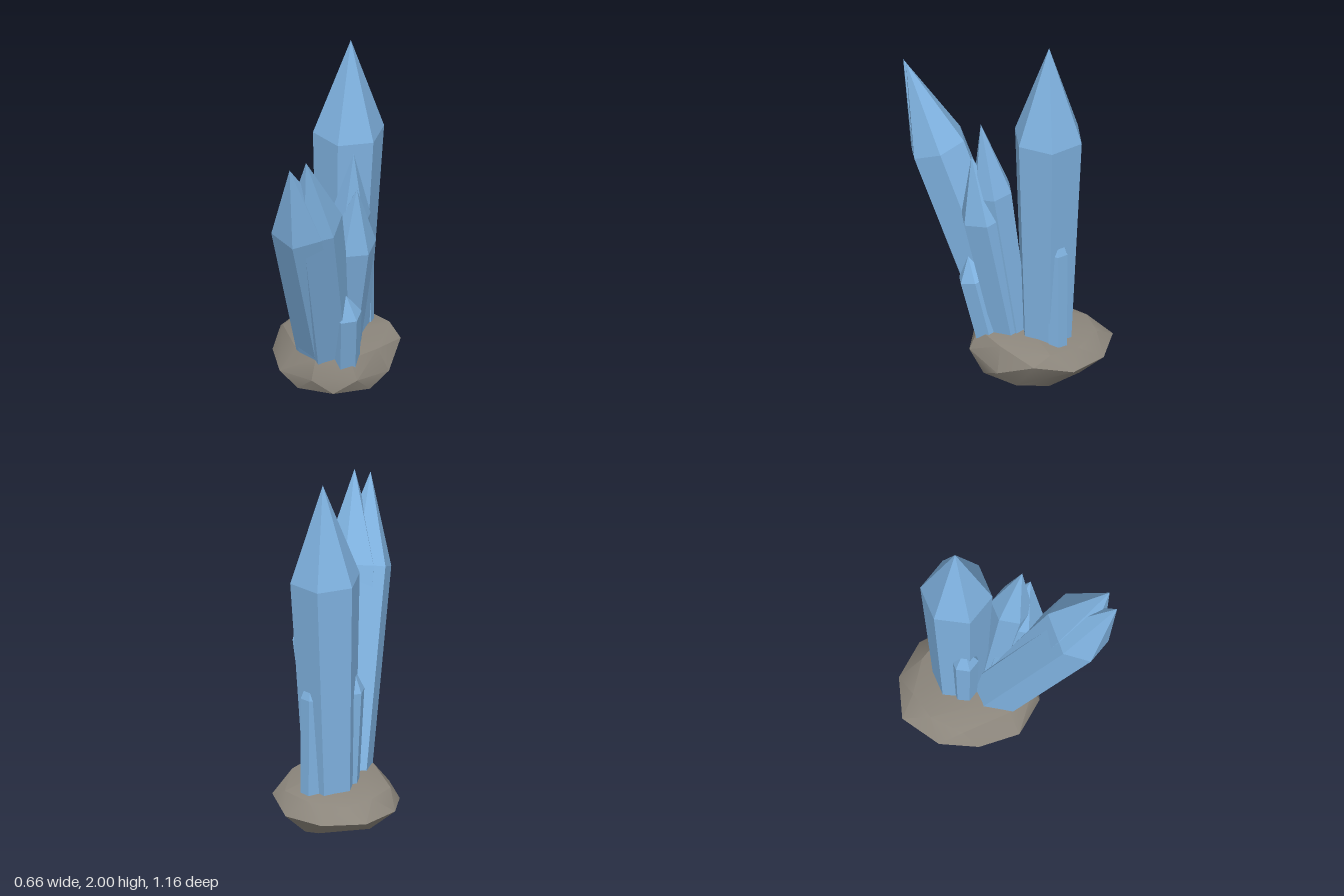
import * as THREE from 'three';
import { ConvexGeometry } from 'three/addons/geometries/ConvexGeometry.js';
import { toCreasedNormals } from 'three/addons/utils/BufferGeometryUtils.js';

const crystalMaterial = new THREE.MeshStandardMaterial({ color: 0x7fb2e0, flatShading: true });
const rockMaterial = new THREE.MeshStandardMaterial({ color: 0x8c867c });

// Six-sided prism widening from its base to the shoulder, then closing to a point.
function crystal(name, base, apex, baseRadius, shoulderRadius, shoulderAt) {
  const from = new THREE.Vector3(...base);
  const axis = new THREE.Vector3(...apex).sub(from);
  const length = axis.length();
  const profile = [
    new THREE.Vector2(0, 0),
    new THREE.Vector2(baseRadius, 0),
    new THREE.Vector2(shoulderRadius, length * shoulderAt),
    new THREE.Vector2(0, length),
  ];
  const mesh = new THREE.Mesh(new THREE.LatheGeometry(profile, 6), crystalMaterial);
  mesh.name = name;
  mesh.position.copy(from);
  mesh.quaternion.setFromUnitVectors(new THREE.Vector3(0, 1, 0), axis.normalize());
  return mesh;
}

// Flattened boulder: hull of a top, a middle and a bottom ring of corners.
function rock() {
  const top = [
    [-0.28, 0.24, -0.2], [-0.12, 0.285, -0.12], [-0.14, 0.26, 0.03], [0, 0.27, 0.13],
    [0.17, 0.265, 0.07], [0.27, 0.25, -0.1], [0.25, 0.25, -0.38], [0.1, 0.24, -0.47],
    [-0.1, 0.24, -0.49], [-0.22, 0.25, -0.38], [0.1, 0.285, -0.2],
  ];
  const middle = [
    [-0.22, 0.17, -0.53], [0.01, 0.16, -0.58], [0.22, 0.16, -0.5], [0.33, 0.2, -0.32],
    [0.33, 0.12, -0.11], [0.22, 0.16, 0.1], [-0.01, 0.16, 0.17], [-0.21, 0.14, 0.09],
    [-0.31, 0.14, -0.11], [-0.33, 0.16, -0.32],
  ];
  const bottom = [
    [-0.29, 0.09, -0.2], [-0.1, 0.07, 0.12], [0.1, 0.08, 0.14], [0.26, 0.06, 0],
    [0.28, 0.04, -0.2], [0.15, 0, -0.33], [-0.05, 0.02, -0.3], [-0.2, 0.06, -0.35],
    [0.05, 0.06, -0.46], [0, 0.03, -0.08], [0.12, 0.02, -0.1],
  ];
  const points = [...top, ...middle, ...bottom].map((p) => new THREE.Vector3(...p));
  const mesh = new THREE.Mesh(toCreasedNormals(new ConvexGeometry(points), 0.55), rockMaterial);
  mesh.name = 'rockBase';
  return mesh;
}

export function createModel() {
  const model = new THREE.Group();
  model.name = 'crystalCluster';
  model.add(
    rock(),
    // Tall upright crystal
    crystal('mainCrystal', [0.03, 0.1, -0.26], [0.065, 2, -0.29], 0.135, 0.192, 0.715),
    // Twin crystals leaning forward
    crystal('frontCrystal', [0, 0.09, -0.11], [-0.005, 1.69, 0.58], 0.15, 0.16, 0.72),
    crystal('frontTwinCrystal', [0.01, 0.09, -0.085], [0.07, 1.72, 0.53], 0.15, 0.16, 0.715),
    // Medium crystals on the left side
    crystal('sideCrystal', [0.06, 0.1, -0.12], [0.185, 1.52, 0.05], 0.08, 0.112, 0.71),
    crystal('sideLowCrystal', [0.06, 0.1, -0.09], [0.215, 1.33, 0.09], 0.1, 0.132, 0.705),
    // Short crystals around the foot
    crystal('smallFrontCrystal', [0.12, 0.1, 0], [0.168, 0.69, 0.13], 0.078, 0.085, 0.79),
    crystal('smallBackCrystal', [0.115, 0.1, -0.36], [0.11, 0.95, -0.355], 0.055, 0.06, 0.82),
    crystal('smallRightCrystal', [-0.05, 0.1, -0.22], [-0.075, 0.95, -0.22], 0.06, 0.075, 0.82),
  );
  return model;
}
